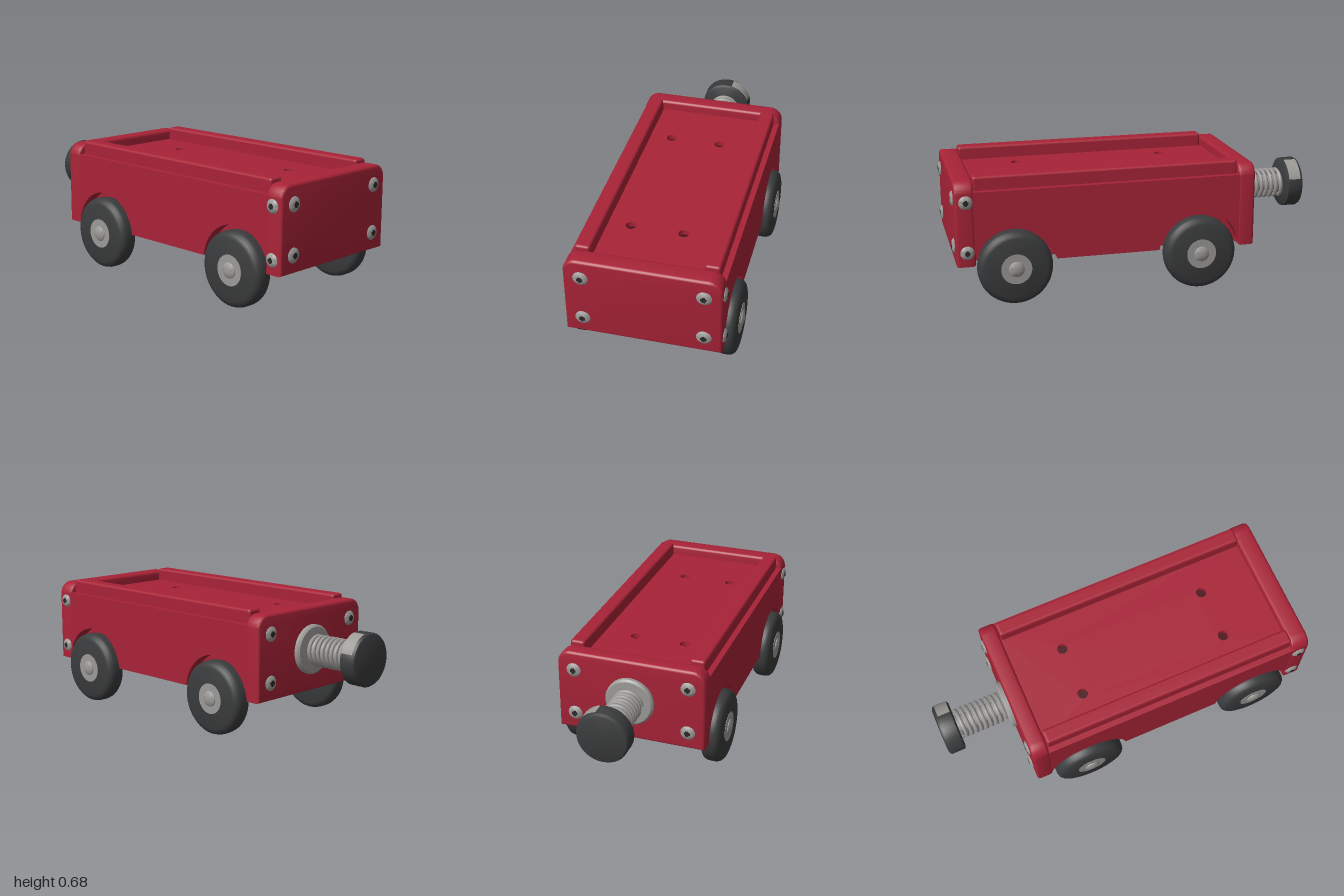
import * as THREE from 'three';
import { toCreasedNormals } from 'three/addons/utils/BufferGeometryUtils.js';
import { RoundedBoxGeometry } from 'three/addons/geometries/RoundedBoxGeometry.js';

const material = (name, color, side = THREE.FrontSide) => {
  const m = new THREE.MeshStandardMaterial({ color, side });
  m.name = name;
  return m;
};
const red = material('red paint', 0xa82337);
const darkRed = material('hole shade', 0x4a1019);
const black = material('black rubber', 0x3a3b3c);
const metal = material('grey metal', 0x9c9a97);
const slot = material('screw slot', 0x2b2927);

function add(parent, name, geometry, mat, x = 0, y = 0, z = 0) {
  const mesh = new THREE.Mesh(geometry, mat);
  mesh.name = name;
  mesh.position.set(x, y, z);
  parent.add(mesh);
  return mesh;
}
const v2 = (list) => list.map(([x, y]) => new THREE.Vector2(x, y));

// Lathe whose axis points along +z
function latheZ(points, segments = 40) {
  return toCreasedNormals(new THREE.LatheGeometry(v2(points), segments).rotateX(Math.PI / 2), 0.6);
}

const AXLES = [0.685, -0.305];
const WHEEL_Y = 0.196;

// End board with rounded top corners and softened edges
function endBoard(depth) {
  const b = 0.014, w = 0.398 - b, y0 = 0.215 + b, y1 = 0.66 - b, r = 0.055;
  const s = new THREE.Shape();
  s.moveTo(-w, y0);
  s.lineTo(w, y0);
  s.lineTo(w, y1 - r);
  s.absarc(w - r, y1 - r, r, 0, Math.PI / 2, false);
  s.absarc(-w + r, y1 - r, r, Math.PI / 2, Math.PI, false);
  s.closePath();
  const g = new THREE.ExtrudeGeometry(s, {
    depth: depth - 2 * b, bevelThickness: b, bevelSize: b, bevelSegments: 3, curveSegments: 8,
  });
  return toCreasedNormals(g.translate(0, 0, b), 0.7);
}

// Side board with two wheel arches, drawn along z and extruded along x
function sideBoard() {
  const y0 = 0.222, r = 0.222, a = Math.asin((y0 - WHEEL_Y) / r);
  const s = new THREE.Shape();
  s.moveTo(-0.89, 0.605);
  s.lineTo(-0.89, y0);
  for (const z of AXLES) s.absarc(-z, WHEEL_Y, r, Math.PI - a, a, true);
  s.lineTo(0.53, y0);
  s.lineTo(0.53, 0.605);
  s.closePath();
  const g = new THREE.ExtrudeGeometry(s, { depth: 0.067, bevelEnabled: false, curveSegments: 28 });
  return toCreasedNormals(g.rotateY(Math.PI / 2).translate(0.328, 0, 0), 0.6);
}

// Bed plate with four drilled holes
function bedPlate() {
  const s = new THREE.Shape(v2([[-0.33, -0.89], [0.33, -0.89], [0.33, 0.53], [-0.33, 0.53]]));
  for (const x of [-0.165, 0.11]) for (const z of [-0.235, 0.585]) {
    const h = new THREE.Path();
    h.absarc(x, -z, 0.028, 0, Math.PI * 2, true);
    s.holes.push(h);
  }
  const g = new THREE.ExtrudeGeometry(s, { depth: 0.03, bevelEnabled: false, curveSegments: 10 });
  return g.rotateX(-Math.PI / 2).translate(0, 0.577, 0);
}

// Domed cross-head screw facing +z
function screw(size) {
  const g = new THREE.Group();
  g.name = 'screw';
  add(g, 'screwHead', latheZ([[size, -0.012], [size, 0.002], [size * 0.8, 0.009], [size * 0.45, 0.013], [0, 0.014]], 24), metal);
  for (const turn of [0, Math.PI / 2]) {
    const bar = add(g, 'crossSlot', new THREE.BoxGeometry(size * 0.8, size * 0.34, 0.004), slot, 0, 0, 0.0125);
    bar.rotation.z = turn;
  }
  add(g, 'slotCentre', new THREE.BoxGeometry(size * 0.55, size * 0.55, 0.004), slot, 0, 0, 0.0123);
  return g;
}

// Wheel facing +z, with hub plate and axle cap
function wheel() {
  const g = new THREE.Group();
  g.name = 'wheel';
  const R = 0.195, h = 0.052;
  add(g, 'tyre', latheZ([[0, -h], [0.165, -h], [0.183, -h + 0.007], [0.192, -h + 0.02], [R, -h + 0.035],
    [R, h - 0.035], [0.19, h - 0.018], [0.178, h - 0.006], [0.16, h], [0, h]], 48), black);
  add(g, 'hubPlate', latheZ([[0.08, h - 0.01], [0.08, h + 0.002], [0, h + 0.002]], 32), metal);
  add(g, 'axleCap', latheZ([[0.042, h], [0.04, h + 0.006], [0.03, h + 0.012], [0.015, h + 0.016], [0, h + 0.017]], 24), metal);
  return g;
}

// Spring-loaded bumper running towards -z
function bumper() {
  const g = new THREE.Group();
  g.name = 'springBumper';
  g.position.set(0, 0.438, -0.61);
  g.rotation.y = Math.PI;
  add(g, 'mountingFlange', latheZ([[0.13, -0.005], [0.13, 0.018], [0.12, 0.028], [0.06, 0.03], [0, 0.03]]), metal);
  add(g, 'plungerRod', latheZ([[0.045, 0], [0.045, 0.31]], 24), metal);
  const turns = 9, pts = [];
  for (let i = 0; i <= turns * 14; i++) {
    const a = (i / 14) * Math.PI * 2;
    pts.push(new THREE.Vector3(Math.cos(a) * 0.073, Math.sin(a) * 0.073, 0.035 + 0.258 * i / (turns * 14)));
  }
  add(g, 'coilSpring', new THREE.TubeGeometry(new THREE.CatmullRomCurve3(pts), turns * 24, 0.011, 7), metal);
  add(g, 'bumperPad', latheZ([[0, 0.295], [0.125, 0.295], [0.137, 0.303], [0.138, 0.375], [0.132, 0.385], [0.12, 0.39], [0, 0.39]]), black);
  // Worn metal patch on the rim of the pad
  const patch = new THREE.CylinderGeometry(0.1395, 0.1395, 0.068, 14, 1, true, 0, 1.0);
  patch.rotateX(Math.PI / 2).rotateZ(Math.PI + 0.25);
  add(g, 'rimPatch', patch, metal, 0, 0, 0.338);
  return g;
}

export function createModel() {
  const cart = new THREE.Group();
  cart.name = 'cart';

  // Body
  add(cart, 'bodyCore', new THREE.BoxGeometry(0.66, 0.353, 1.42), red, 0, 0.4005, 0.18);
  add(cart, 'bedPlate', bedPlate(), red);
  for (const x of [-0.165, 0.11]) for (const z of [-0.235, 0.585]) {
    const d = add(cart, 'holeBottom', new THREE.CircleGeometry(0.028, 20), darkRed, x, 0.58, z);
    d.rotation.x = -Math.PI / 2;
  }
  add(cart, 'frontBoard', endBoard(0.1), red, 0, 0, 0.885);
  add(cart, 'backBoard', endBoard(0.09), red, 0, 0, -0.61);
  const left = sideBoard();
  const right = left.clone().translate(-0.723, 0, 0);
  add(cart, 'leftSideBoard', left, red);
  add(cart, 'rightSideBoard', right, red);
  for (const s of [-1, 1]) {
    add(cart, 'topRail', new RoundedBoxGeometry(0.08, 0.1, 1.405, 3, 0.014), red, s * 0.325, 0.628, 0.185);
  }

  // Screws on the end boards and front corners
  for (const s of [-1, 1]) for (const y of [0.56, 0.308]) {
    const f = screw(0.039);
    f.position.set(s * 0.308, y, 0.985);
    const b = screw(0.039);
    b.position.set(s * 0.308, y, -0.61);
    b.rotation.y = Math.PI;
    const c = screw(0.036);
    c.position.set(s * 0.398, y === 0.56 ? 0.555 : 0.29, 0.928);
    c.rotation.y = s * Math.PI / 2;
    cart.add(f, b, c);
  }

  // Wheels and axles
  for (const z of AXLES) {
    for (const s of [-1, 1]) {
      const w = wheel();
      w.position.set(s * 0.385, WHEEL_Y, z);
      w.rotation.y = s * Math.PI / 2;
      cart.add(w);
    }
    const axle = add(cart, 'axle', new THREE.CylinderGeometry(0.038, 0.038, 0.7, 24), black, 0, WHEEL_Y, z);
    axle.rotation.z = Math.PI / 2;
  }

  cart.add(bumper());
  return cart;
}
